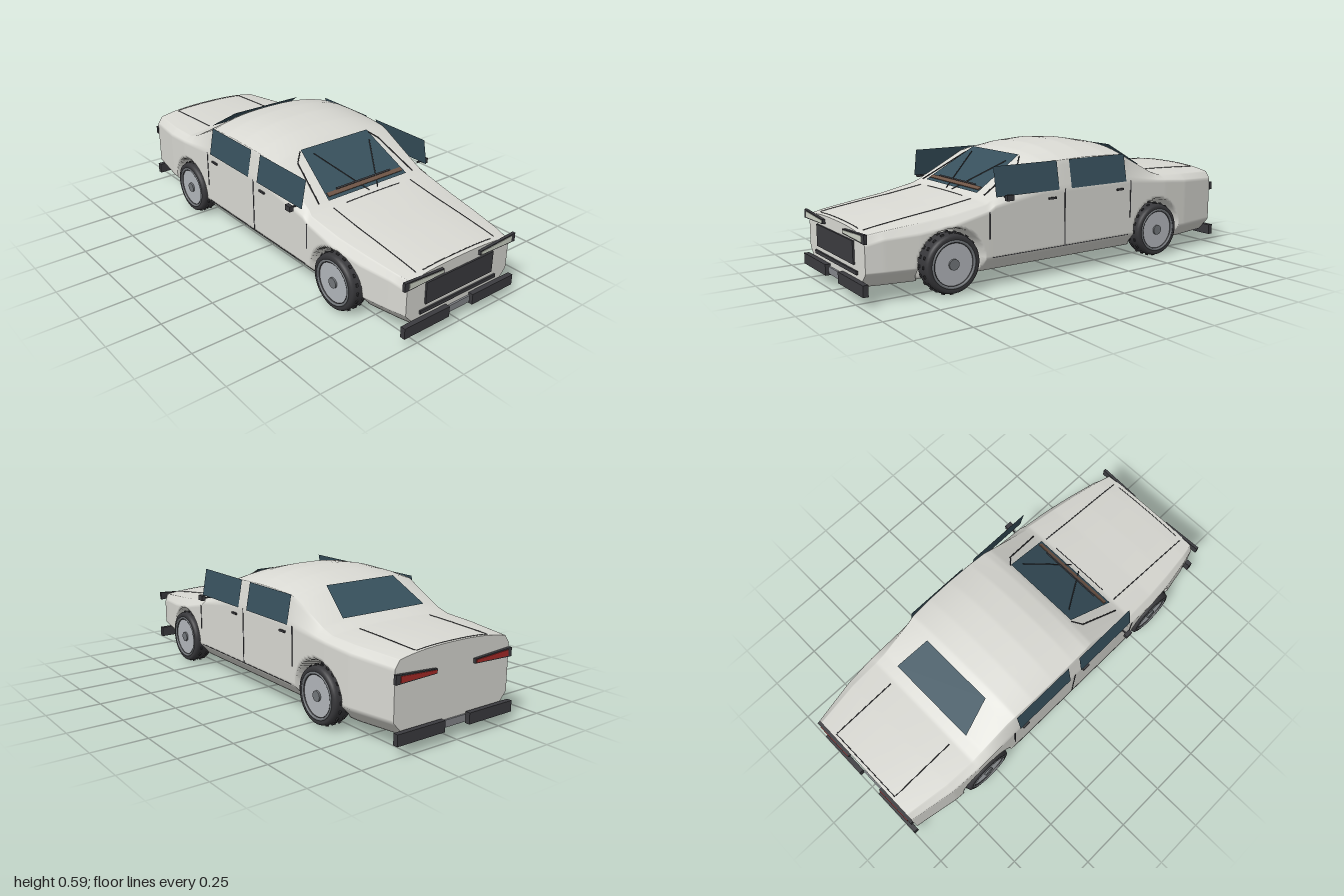
import * as THREE from 'three';

const mat = (color) => new THREE.MeshStandardMaterial({ color, side: THREE.DoubleSide });
const paint = mat(0xd9d9d3), dark = mat(0x3b3b3f), glass = mat(0x37505c), tyreMat = mat(0x38383b);
const rimMat = mat(0xb2b6bb), hubMat = mat(0x73777b), red = mat(0xa82a28), lamp = mat(0xcfd4c6);
const brown = mat(0x6e5546), plateMat = mat(0x85878c);

const AXLES = [0.61, -0.55], AXLE_Y = 0.137;

// Body stations: z, half width, belt y, shoulder x, shoulder y, centre top y
const STATIONS = [
  [0.975, 0.3, 0.25, 0.285, 0.29, 0.308],
  [0.9, 0.32, 0.27, 0.3, 0.302, 0.32],
  [0.75, 0.348, 0.28, 0.32, 0.32, 0.342],
  [0.6, 0.366, 0.3, 0.335, 0.338, 0.36],
  [0.43, 0.37, 0.34, 0.345, 0.37, 0.384],
  [0.4, 0.37, 0.36, 0.335, 0.385, 0.398],
  [0.155, 0.37, 0.4, 0.335, 0.512, 0.545],
  [0.12, 0.37, 0.4, 0.34, 0.52, 0.56],
  [0.03, 0.37, 0.4, 0.343, 0.528, 0.582],
  [-0.1, 0.37, 0.4, 0.345, 0.532, 0.592],
  [-0.23, 0.37, 0.4, 0.344, 0.53, 0.585],
  [-0.34, 0.37, 0.4, 0.34, 0.52, 0.567],
  [-0.38, 0.37, 0.4, 0.335, 0.5, 0.549],
  [-0.54, 0.37, 0.385, 0.33, 0.42, 0.442],
  [-0.6, 0.37, 0.38, 0.33, 0.402, 0.422],
  [-0.75, 0.36, 0.365, 0.325, 0.395, 0.418],
  [-0.97, 0.32, 0.35, 0.295, 0.385, 0.41],
];

function station(z) {
  let i = 0;
  while (i < STATIONS.length - 2 && STATIONS[i + 1][0] > z) i++;
  const a = STATIONS[i], b = STATIONS[i + 1];
  const t = THREE.MathUtils.clamp((z - a[0]) / (b[0] - a[0]), 0, 1);
  return a.map((v, k) => v + (b[k] - v) * t);
}

const crown = (x, [, , , sx, sy, top]) => sy + (top - sy) * (1 - Math.pow(Math.min(1, Math.abs(x) / sx), 2.5));
const topY = (x, z) => crown(x, station(z));

// Closed cross-section, with the sides pushed in around the wheels
function ring(z) {
  const s = station(z), [, w, belt, sx, sy] = s;
  const half = [];
  const line = (x0, y0, x1, y1, n) => {
    for (let i = 0; i < n; i++) half.push([x0 + (x1 - x0) * i / n, y0 + (y1 - y0) * i / n]);
  };
  line(0, 0.07, w - 0.06, 0.07, 5);
  line(w - 0.06, 0.07, w, 0.135, 5);
  line(w, 0.135, w, belt, 20);
  line(w, belt, sx, sy, 6);
  for (let i = 0; i <= 12; i++) {
    const x = sx * Math.cos(i / 12 * Math.PI / 2);
    half.push([i === 12 ? 0 : x, crown(x, s)]);
  }
  for (const p of half) for (const az of AXLES) {
    const d = Math.hypot(z - az, p[1] - AXLE_Y);
    const k = 1 - THREE.MathUtils.smoothstep(d, 0.138, 0.155);
    if (p[0] > 0.265) p[0] += (0.265 - p[0]) * k;
  }
  const mirror = half.slice(1, -1).reverse().map(([x, y]) => [-x, y]);
  return [...half, ...mirror];
}

function bodyGeometry() {
  const pos = [], index = [], N = 220;
  let count = 0;
  for (let i = 0; i <= N; i++) {
    const z = 0.975 - 1.945 * i / N, r = ring(z);
    count = r.length;
    r.forEach(([x, y]) => pos.push(x, y, z));
  }
  for (let i = 0; i < N; i++) for (let j = 0; j < count; j++) {
    const a = i * count + j, b = i * count + (j + 1) % count, c = a + count, d = b + count;
    index.push(a, c, b, b, c, d);
  }
  const g = new THREE.BufferGeometry();
  g.setAttribute('position', new THREE.Float32BufferAttribute(pos, 3));
  g.setIndex(index);
  g.computeVertexNormals();
  return g;
}

// Flat quad panel from four corners, counter-clockwise from outside
function quad(corners) {
  const g = new THREE.BufferGeometry().setFromPoints(corners.map((c) => new THREE.Vector3(...c)));
  g.setIndex([0, 1, 2, 0, 2, 3]);
  g.computeVertexNormals();
  return g;
}

function plate(points, depth) {
  const shape = new THREE.Shape(points.map(([x, y]) => new THREE.Vector2(x, y)));
  return new THREE.ExtrudeGeometry(shape, { depth, bevelEnabled: false });
}

const rod = (points, r) => {
  const path = new THREE.CurvePath();
  for (let i = 1; i < points.length; i++)
    path.add(new THREE.LineCurve3(new THREE.Vector3(...points[i - 1]), new THREE.Vector3(...points[i])));
  return new THREE.TubeGeometry(path, (points.length - 1) * 2, r, 5);
};

function makeWheel() {
  const wheel = new THREE.Group();
  const add = (name, geo, m, x = 0) => {
    const o = new THREE.Mesh(geo, m);
    o.name = name;
    o.position.x = x;
    wheel.add(o);
  };
  const profile = [[0.092, -0.045], [0.115, -0.047], [0.125, -0.042], [0.129, -0.03], [0.129, 0.03],
    [0.125, 0.042], [0.115, 0.047], [0.092, 0.045], [0.092, -0.045]];
  const lathe = new THREE.LatheGeometry(profile.map((p) => new THREE.Vector2(...p)), 40);
  add('tyre', lathe.rotateZ(-Math.PI / 2), tyreMat);
  add('rim', new THREE.CylinderGeometry(0.093, 0.093, 0.08, 40).rotateZ(Math.PI / 2), rimMat);
  add('rimRing', new THREE.TorusGeometry(0.1, 0.006, 8, 40).rotateY(Math.PI / 2), hubMat, 0.044);
  add('hub', new THREE.CylinderGeometry(0.024, 0.024, 0.012, 20).rotateZ(Math.PI / 2), hubMat, 0.042);
  // Tread studs
  for (let i = 0; i < 20; i++) for (const x of [-0.018, 0.018]) {
    const g = new THREE.BoxGeometry(0.008, 0.012, 0.014).translate(x, 0.129, 0).rotateX(i / 20 * Math.PI * 2);
    add('treadStud', g, tyreMat);
  }
  return wheel;
}

export function createModel() {
  const car = new THREE.Group();
  car.name = 'car';
  const add = (name, geo, m, x = 0, y = 0, z = 0) => {
    const o = new THREE.Mesh(geo, m);
    o.name = name;
    o.position.set(x, y, z);
    car.add(o);
    return o;
  };
  const box = (name, m, w, h, d, x, y, z) => add(name, new THREE.BoxGeometry(w, h, d), m, x, y, z);

  // Shell and end panels
  add('body', bodyGeometry(), paint);
  const cap = (z) => new THREE.ShapeGeometry(new THREE.Shape(ring(z).map((p) => new THREE.Vector2(...p))));
  add('nosePanel', cap(0.975), paint, 0, 0, 0.975);
  add('tailPanel', cap(-0.97).rotateY(Math.PI), paint, 0, 0, -0.97);

  // Front and rear glass
  add('windscreen', quad([[-0.232, 0.4, 0.409], [0.232, 0.4, 0.409], [0.197, 0.547, 0.163], [-0.197, 0.547, 0.163]]), glass);
  add('rearWindow', quad([[0.232, 0.449, -0.545], [-0.232, 0.449, -0.545], [-0.192, 0.558, -0.379], [0.192, 0.558, -0.379]]), glass);
  box('dashboard', brown, 0.44, 0.02, 0.006, 0, 0.415, 0.386).rotation.x = -1.03;
  box('dashboardTrim', dark, 0.32, 0.008, 0.006, 0, 0.424, 0.374).rotation.x = -1.03;
  add('wiper', rod([[-0.01, 0.392, 0.425], [-0.15, 0.53, 0.2]], 0.0025), dark);
  add('wiper', rod([[0.04, 0.392, 0.425], [0.17, 0.52, 0.215]], 0.0025), dark);

  // Nose and tail fittings
  box('grille', dark, 0.395, 0.1, 0.01, 0, 0.206, 0.978);
  box('lowerIntake', dark, 0.45, 0.016, 0.01, 0, 0.126, 0.978);
  box('frontPlate', plateMat, 0.134, 0.032, 0.008, 0, 0.074, 0.981);
  box('rearPlate', plateMat, 0.134, 0.032, 0.008, 0, 0.074, -0.976);

  for (const s of [1, -1]) {
    const flip = (pts) => pts.map(([x, ...rest]) => [x * s, ...rest]);

    box('frontBumper', dark, 0.255, 0.05, 0.024, s * 0.197, 0.075, 0.987);
    box('rearBumper', dark, 0.255, 0.05, 0.024, s * 0.197, 0.075, -0.988);
    const housing = flip([[0.108, 0.271], [0.325, 0.264], [0.325, 0.304], [0.108, 0.291]]);
    const lens = flip([[0.112, 0.275], [0.302, 0.27], [0.302, 0.297], [0.112, 0.287]]);
    add('headlightHousing', plate(housing, 0.014), dark, 0, 0, 0.974);
    add('headlight', plate(lens, 0.004), lamp, 0, 0, 0.986);
    add('tailLightHousing', plate(housing, 0.014), dark, 0, 0.028, -0.984);
    add('tailLight', plate(lens, 0.004), red, 0, 0.028, -0.987);

    // Side windows leaning in with the cabin
    for (const [z0, z1] of [[0.4, 0.062], [-0.008, -0.338]])
      add('sideWindow', quad(flip([[0.374, 0.4, z0], [0.374, 0.4, z1], [0.35, 0.53, z1], [0.35, 0.53, z0]])), glass);

    // Door seams and handles
    for (const [z, y0, y1] of [[0.43, 0.22, 0.34], [0.027, 0.14, 0.4], [-0.37, 0.22, 0.4]])
      box('doorSeam', dark, 0.004, y1 - y0, 0.005, s * 0.37, (y0 + y1) / 2, z);
    box('sillSeam', dark, 0.003, 0.003, 0.78, s * 0.37, 0.138, 0.03);
    for (const z of [0.1, -0.3]) box('doorHandle', dark, 0.01, 0.009, 0.04, s * 0.373, 0.365, z);

    // Door mirror
    box('mirrorArm', dark, 0.04, 0.006, 0.008, s * 0.382, 0.396, 0.35);
    box('mirror', dark, 0.02, 0.025, 0.035, s * 0.405, 0.398, 0.352);

    // Bonnet, boot and windscreen-pillar seams lying on the surface
    const seam = (x, z0, z1) => {
      const pts = [];
      for (let i = 0; i <= 8; i++) {
        const z = z0 + (z1 - z0) * i / 8;
        pts.push([s * x, topY(x, z), z]);
      }
      add('panelSeam', rod(pts, 0.0025), dark);
    };
    seam(0.23, 0.44, 0.95);
    seam(0.2, -0.62, -0.95);
    add('pillarTrim', rod(flip([[0.28, 0.396, 0.402], [0.235, 0.527, 0.165], [0.2, 0.54, 0.162]]), 0.003), dark);

    // Wheels
    for (const z of AXLES) {
      const wheel = makeWheel();
      wheel.name = z > 0 ? 'frontWheel' : 'rearWheel';
      wheel.position.set(s * 0.328, AXLE_Y, z);
      if (s < 0) wheel.rotation.y = Math.PI;
      car.add(wheel);
    }
  }

  // Cross seams of bonnet and boot
  for (const [x, z] of [[0.2, 0.955], [0.16, 0.44], [0.2, -0.955]]) {
    const pts = [];
    for (let i = -4; i <= 4; i++) pts.push([x * i / 4, topY(x * i / 4, z), z]);
    add('panelSeam', rod(pts, 0.002), dark);
  }
  return car;
}
